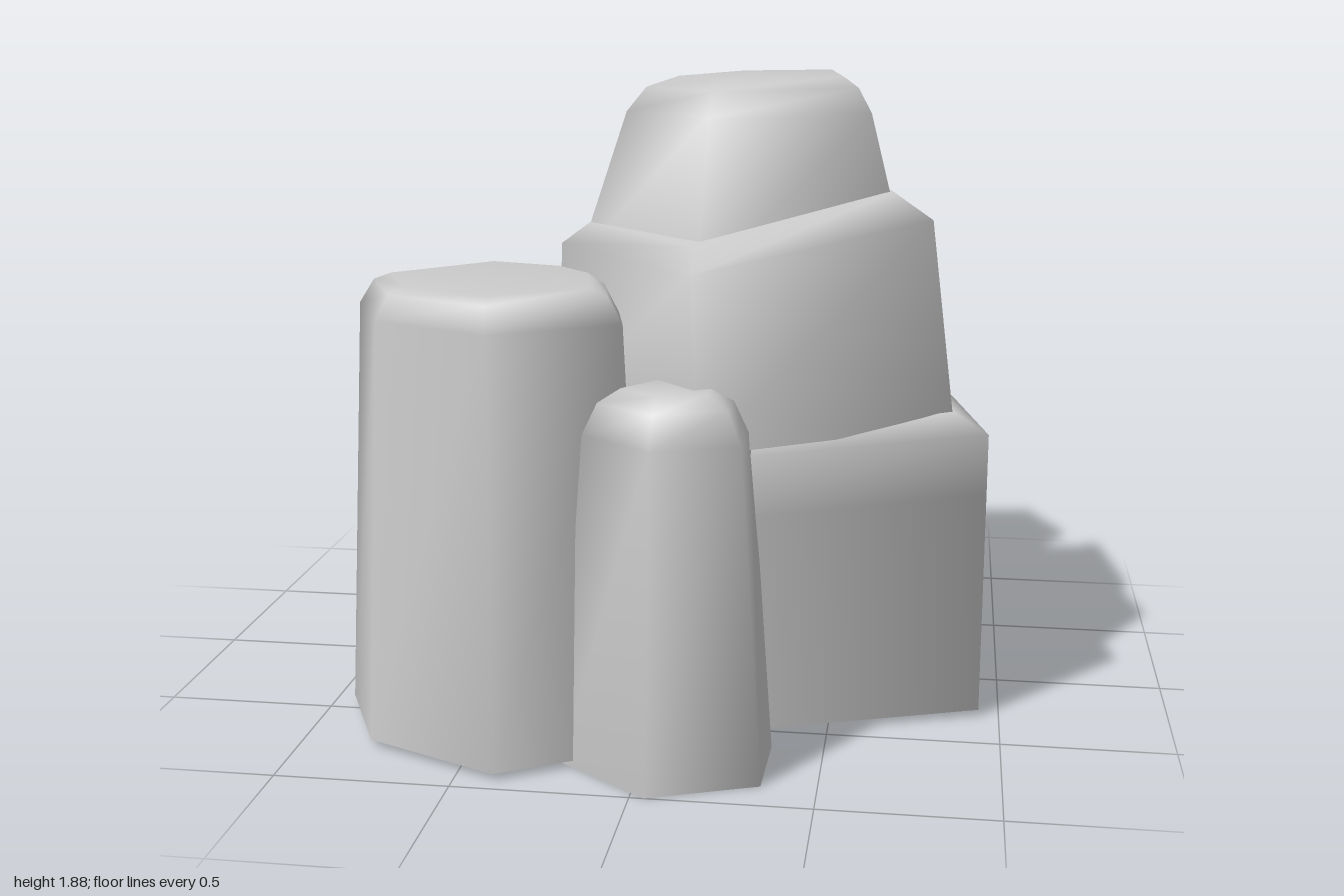
import * as THREE from 'three';

const material = new THREE.MeshStandardMaterial({ color: 0xcccccc });

// Skin stacked rings of [x, y, z] corners: smooth sides and top, flat bottom.
function loft(name, rings) {
  const n = rings[0].length;
  const last = (rings.length - 1) * n;
  const points = rings.flat();
  const middle = (ring) => [0, 1, 2].map((k) => ring.reduce((s, p) => s + p[k], 0) / n);
  const top = points.push(middle(rings[rings.length - 1])) - 1;
  const bottom = points.push(...rings[0], middle(rings[0])) - 1;
  const index = [];
  for (let i = 0; i < n; i++) {
    const j = (i + 1) % n;
    for (let r = 0; r < last; r += n) {
      index.push(r + i, r + n + i, r + j, r + j, r + n + i, r + n + j);
    }
    index.push(top, last + j, last + i);
    index.push(bottom, bottom - n + i, bottom - n + j);
  }
  const geometry = new THREE.BufferGeometry();
  geometry.setAttribute('position', new THREE.Float32BufferAttribute(points.flat(), 3));
  geometry.setIndex(index);
  geometry.computeVertexNormals();
  const mesh = new THREE.Mesh(geometry, material);
  mesh.name = name;
  return mesh;
}

// Ring from a flat outline; y is one height or one per corner.
const ring = (y, outline) => outline.map(([x, z], i) => [x, Array.isArray(y) ? y[i] : y, z]);

// Column: one outline scaled about a centre by a profile of [y, scale].
const column = (name, [cx, cz], outline, profile) =>
  loft(name, profile.map(([y, s]) =>
    ring(y, outline.map(([x, z]) => [cx + (x - cx) * s, cz + (z - cz) * s]))));

export function createModel() {
  const group = new THREE.Group();
  group.name = 'rockFormation';

  // Main rock: three stacked boulders
  group.add(loft('mainRockLower', [
    ring(0.02, [[0.84, -0.32], [0.94, 0.3], [0.32, 0.53], [-0.1, 0.25], [0.02, -0.14]]),
    ring(0.7, [[0.77, -0.48], [0.94, 0.34], [0.17, 0.72], [-0.27, 0.28], [0, -0.31]]),
    ring(0.88, [[0.75, -0.52], [0.94, 0.35], [0.15, 0.75], [-0.31, 0.29], [-0.01, -0.36]]),
    ring(0.94, [[0.66, -0.48], [0.84, 0.33], [0.15, 0.71], [-0.27, 0.28], [0.02, -0.32]]),
  ]));
  group.add(loft('mainRockMiddle', [
    ring(0.9, [[0.65, -0.48], [0.84, 0.33], [0.15, 0.78], [-0.33, 0.29], [-0.01, -0.36]]),
    ring([1.48, 1.49, 1.39, 1.4, 1.44],
      [[0.6, -0.41], [0.765, 0.31], [0.13, 0.745], [-0.31, 0.29], [0.02, -0.32]]),
    ring([1.56, 1.56, 1.45, 1.46, 1.5],
      [[0.53, -0.33], [0.65, 0.25], [0.13, 0.65], [-0.23, 0.27], [0.07, -0.25]]),
  ]));
  group.add(loft('mainRockTop', [
    ring(1.36, [[0.57, -0.37], [0.69, 0.26], [0.13, 0.62], [-0.26, 0.28], [0.1, -0.28]]),
    ring(1.78, [[0.51, -0.27], [0.58, 0.2], [0.14, 0.47], [-0.125, 0.24], [0.13, -0.18]]),
    ring(1.85, [[0.48, -0.23], [0.54, 0.18], [0.15, 0.41], [-0.07, 0.22], [0.15, -0.14]]),
    ring(1.88, [[0.44, -0.18], [0.49, 0.15], [0.17, 0.33], [0.02, 0.19], [0.18, -0.09]]),
  ]));

  // Broad column at the front right
  group.add(column('broadColumn', [-0.46, 0.5],
    [[0, 0.72], [-0.39, 0.95], [-0.79, 0.77], [-0.94, 0.45], [-0.57, 0.08], [-0.12, 0.2]],
    [[0.02, 1], [1.24, 0.865], [1.31, 0.77], [1.33, 0.66]]));

  // Small column at the front
  group.add(column('smallColumn', [0.07, 0.74],
    [[0.35, 0.61], [0.345, 0.88], [0.04, 1], [-0.23, 0.8], [0.05, 0.43]],
    [[0, 1], [0.95, 0.77], [1.04, 0.63], [1.08, 0.42]]));

  // Two-tier column at the back
  const back = [[0.67, -0.51], [0.11, -0.27], [-0.22, -0.51], [-0.03, -0.91], [0.45, -1]];
  group.add(column('backColumnLower', [0.2, -0.61], back,
    [[0.02, 1], [0.82, 0.91], [0.89, 0.78]]));
  group.add(column('backColumnUpper', [0.2, -0.61], back,
    [[0.85, 0.8], [1.53, 0.67], [1.6, 0.59], [1.63, 0.42]]));

  return group;
}
